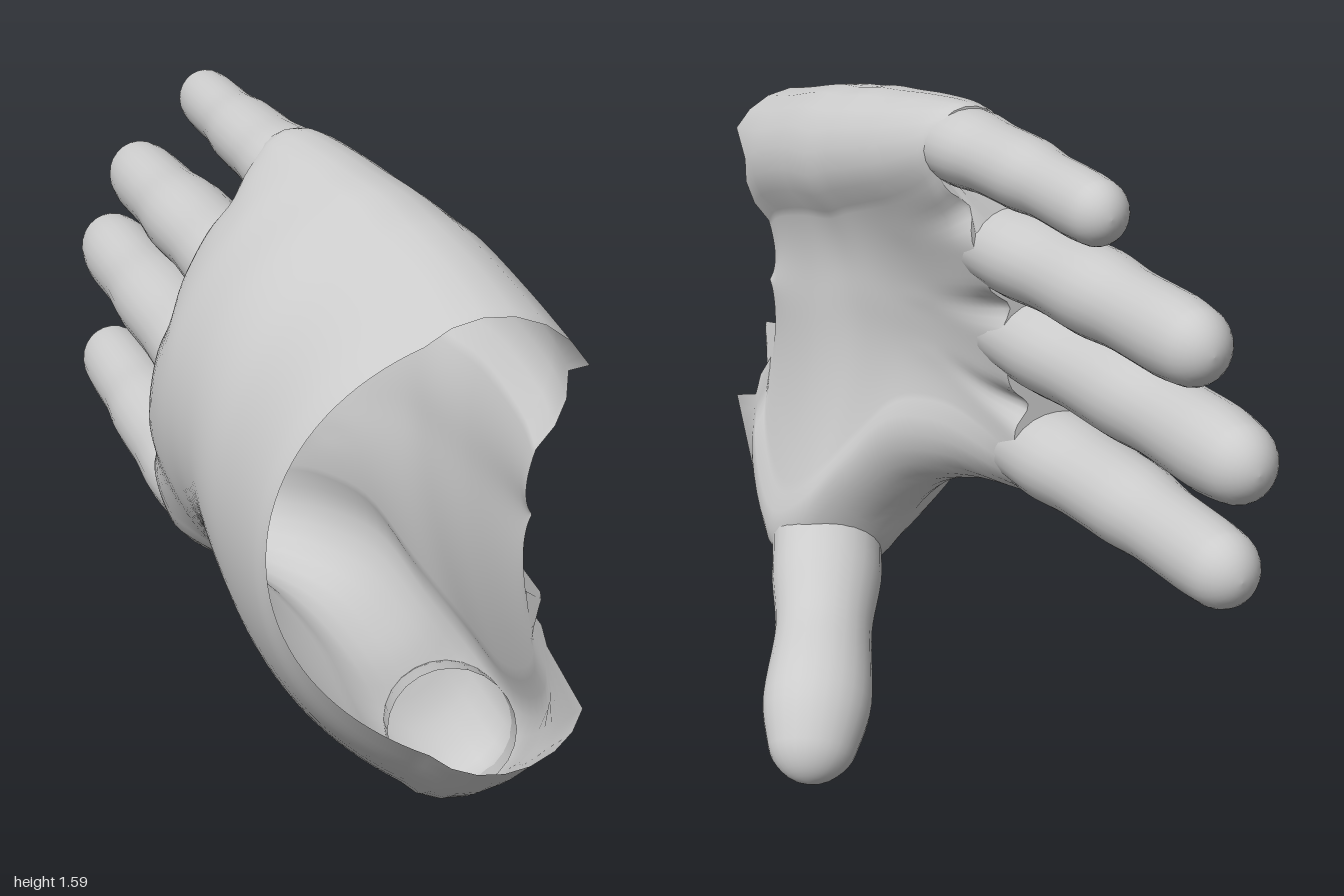
import * as THREE from 'three';

const skin = new THREE.MeshStandardMaterial({ color: 0xcccccc, side: THREE.DoubleSide });
const V3 = (x, y, z) => new THREE.Vector3(x, y, z);

// Skin over a list of closed rings with equal point counts
function loft(rings) {
  const n = rings[0].length, pos = [], index = [];
  for (const ring of rings) for (const p of ring) pos.push(p.x, p.y, p.z);
  for (let i = 0; i < rings.length - 1; i++) {
    for (let j = 0; j < n; j++) {
      const a = i * n + j, b = i * n + (j + 1) % n;
      index.push(a, a + n, b, b, a + n, b + n);
    }
  }
  const geo = new THREE.BufferGeometry();
  geo.setAttribute('position', new THREE.Float32BufferAttribute(pos, 3));
  geo.setIndex(index);
  geo.computeVertexNormals();
  return geo;
}

function addMesh(group, name, geo) {
  const mesh = new THREE.Mesh(geo, skin);
  mesh.name = name;
  group.add(mesh);
}

// Smooth value along a short list
function sample(list, t) {
  const f = Math.min(t, 0.9999) * (list.length - 1), i = Math.floor(f);
  return THREE.MathUtils.lerp(list[i], list[i + 1], THREE.MathUtils.smoothstep(f - i, 0, 1));
}

// Finger tube: open at the root, rounded at the tip; width is scaled from rootWide to tipWide
function limb(points, radii, rootWide, tipWide, sides = 24) {
  const curve = new THREE.CatmullRomCurve3(points);
  const len = curve.getLength(), rTip = radii[radii.length - 1], shaft = len - rTip;
  const stations = [];
  for (let i = 0; i < 24; i++) stations.push([shaft * i / 24, 1]);
  for (let i = 0; i <= 8; i++) {
    const a = i / 8 * Math.PI / 2;
    stations.push([shaft + rTip * Math.sin(a), Math.max(Math.cos(a), 0.002)]);
  }
  return loft(stations.map(([d, k]) => {
    const t = Math.min(d / len, 1), c = curve.getPointAt(t), dir = curve.getTangentAt(t);
    const u = dir.clone().cross(V3(0, 1, 0)).normalize(), v = u.clone().cross(dir);
    const r = sample(radii, t) * k, w = r * THREE.MathUtils.lerp(rootWide, tipWide, t);
    return Array.from({ length: sides }, (_, j) => {
      const a = j / sides * Math.PI * 2;
      return c.clone().addScaledVector(u, Math.cos(a) * w).addScaledVector(v, Math.sin(a) * r);
    });
  }));
}

// Depth of the webbing between the fingers
const webZ = y => -0.06 + 0.08 * THREE.MathUtils.smoothstep(y, 1.22, 1.45);

// Ragged, slanted wrist edge
function rimZ(x, y) {
  if (x > 0.05 && y > 0.7 && y < 1.34) {
    return Math.abs(y - 0.86) < 0.014 ? 0.91 : 0.835 + 0.045 * THREE.MathUtils.smoothstep(y, 0.95, 1.3);
  }
  return Math.min(0.955 + 0.25 * x, 1);
}

// Hand cross-section: a bent band from index side to little side, with grooves between the knuckles
function section([z, bx, by, rb, mx, my, rm, tx, ty, rt, dent]) {
  const B = new THREE.Vector2(bx, by), T = new THREE.Vector2(tx, ty);
  const C = new THREE.Vector2(2 * mx - (bx + tx) / 2, 2 * my - (by + ty) / 2);
  const mid = new THREE.QuadraticBezierCurve(B, C, T);
  const N = 40, K = 10, out = [];
  const put = (t, turn) => {
    const c = mid.getPoint(t), d = mid.getTangent(t), a = Math.atan2(d.y, d.x) + turn;
    let r = rb * (1 - t) * (1 - 2 * t) + 4 * rm * t * (1 - t) + rt * t * (2 * t - 1);
    for (const g of [0.91, 1.16, 1.385]) r *= 1 - dent * Math.exp(-(((c.y - g) / 0.037) ** 2));
    out.push(V3(c.x + r * Math.cos(a), c.y + r * Math.sin(a), 0));
  };
  for (let i = 0; i <= N; i++) put(i / N, Math.PI / 2);
  for (let i = 1; i < K; i++) put(1, Math.PI / 2 - Math.PI * i / K);
  for (let i = N; i >= 0; i--) put(i / N, -Math.PI / 2);
  for (let i = 1; i < K; i++) put(0, -Math.PI / 2 - Math.PI * i / K);
  for (const p of out) p.z = z === 'rim' ? rimZ(p.x, p.y) : z === 'web' ? webZ(p.y) : z;
  return out.reverse();
}

export function createModel() {
  const hand = new THREE.Group();
  hand.name = 'hand';

  // Palm: depth, then index edge, middle and little edge (x, y, radius), then groove depth
  const keys = [
    ['rim', 0.02, 0.68, 0.17, -0.135, 0.99, 0.275, 0, 1.28, 0.185, 0],
    [0.8, 0.05, 0.53, 0.165, -0.14, 0.96, 0.278, 0.01, 1.315, 0.18, 0],
    [0.6, 0.08, 0.42, 0.16, -0.147, 0.94, 0.267, 0.005, 1.36, 0.175, 0],
    [0.48, 0.05, 0.49, 0.15, -0.168, 0.99, 0.25, -0.005, 1.38, 0.17, 0],
    [0.4, -0.02, 0.625, 0.132, -0.182, 1.04, 0.236, -0.015, 1.4, 0.162, 0],
    [0.3, -0.1, 0.74, 0.14, -0.204, 1.08, 0.215, -0.025, 1.42, 0.15, 0],
    [0.18, -0.18, 0.78, 0.138, -0.226, 1.1, 0.186, -0.037, 1.445, 0.136, 0],
    [0.05, -0.235, 0.78, 0.13, -0.225, 1.1, 0.15, -0.048, 1.478, 0.108, 0.1],
    ['web', -0.238, 0.775, 0.106, -0.195, 1.1, 0.106, -0.052, 1.49, 0.09, 0.38],
  ].map(section);
  const steps = 40;
  const rings = Array.from({ length: steps + 1 }, () => []);
  keys[0].forEach((_, j) => {
    const rail = new THREE.CatmullRomCurve3(keys.map(k => k[j]));
    for (let i = 0; i <= steps; i++) rings[i].push(rail.getPoint(i / steps));
  });
  addMesh(hand, 'palm', loft(rings));

  // Fingers: root x, y, tip x, y, z, radii along the length
  const fingers = [
    ['indexFinger', -0.238, 0.775, -0.235, 0.785, -0.9, [0.1, 0.106, 0.098, 0.098, 0.088, 0.088, 0.08]],
    ['middleFinger', -0.205, 1.05, -0.2, 1.05, -1, [0.098, 0.104, 0.098, 0.1, 0.091, 0.094, 0.078]],
    ['ringFinger', -0.145, 1.263, -0.15, 1.262, -0.9, [0.093, 0.098, 0.092, 0.096, 0.087, 0.088, 0.076]],
    ['littleFinger', -0.052, 1.492, -0.035, 1.49, -0.69, [0.083, 0.087, 0.079, 0.079, 0.07, 0.071, 0.065]],
  ];
  const web = new THREE.Shape(rings[steps].map(p => new THREE.Vector2(p.x, p.y)));
  for (const [name, x, y, tx, ty, tz, radii] of fingers) {
    const z = webZ(y) + 0.12;
    const path = [V3(x, y - 0.006, z), V3(x * 0.7 + tx * 0.3 - 0.006, (y + ty) / 2, z * 0.55 + tz * 0.45), V3(tx, ty, tz)];
    addMesh(hand, name, limb(path, radii, 1.23, 0.93));
    const hole = new THREE.Path();
    hole.absarc(x, y, radii[0] * 0.92, 0, Math.PI * 2, true);
    web.holes.push(hole);
  }

  // Webbing that joins the finger roots
  const webGeo = new THREE.ShapeGeometry(web, 12);
  const p = webGeo.attributes.position;
  for (let i = 0; i < p.count; i++) p.setZ(i, webZ(p.getY(i)));
  // Face the fingertips
  const idx = webGeo.index.array;
  for (let i = 0; i < idx.length; i += 3) [idx[i], idx[i + 1]] = [idx[i + 1], idx[i]];
  webGeo.computeVertexNormals();
  addMesh(hand, 'fingerWeb', webGeo);

  // Thumb, growing out of the lower palm
  const thumbPath = [V3(0.075, 0.425, 0.64), V3(0.135, 0.35, 0.47), V3(0.21, 0.252, 0.3), V3(0.29, 0.165, 0.13), V3(0.365, 0.025, -0.005)];
  addMesh(hand, 'thumb', limb(thumbPath, [0.13, 0.128, 0.108, 0.116, 0.08], 1.05, 1.15));

  return hand;
}
